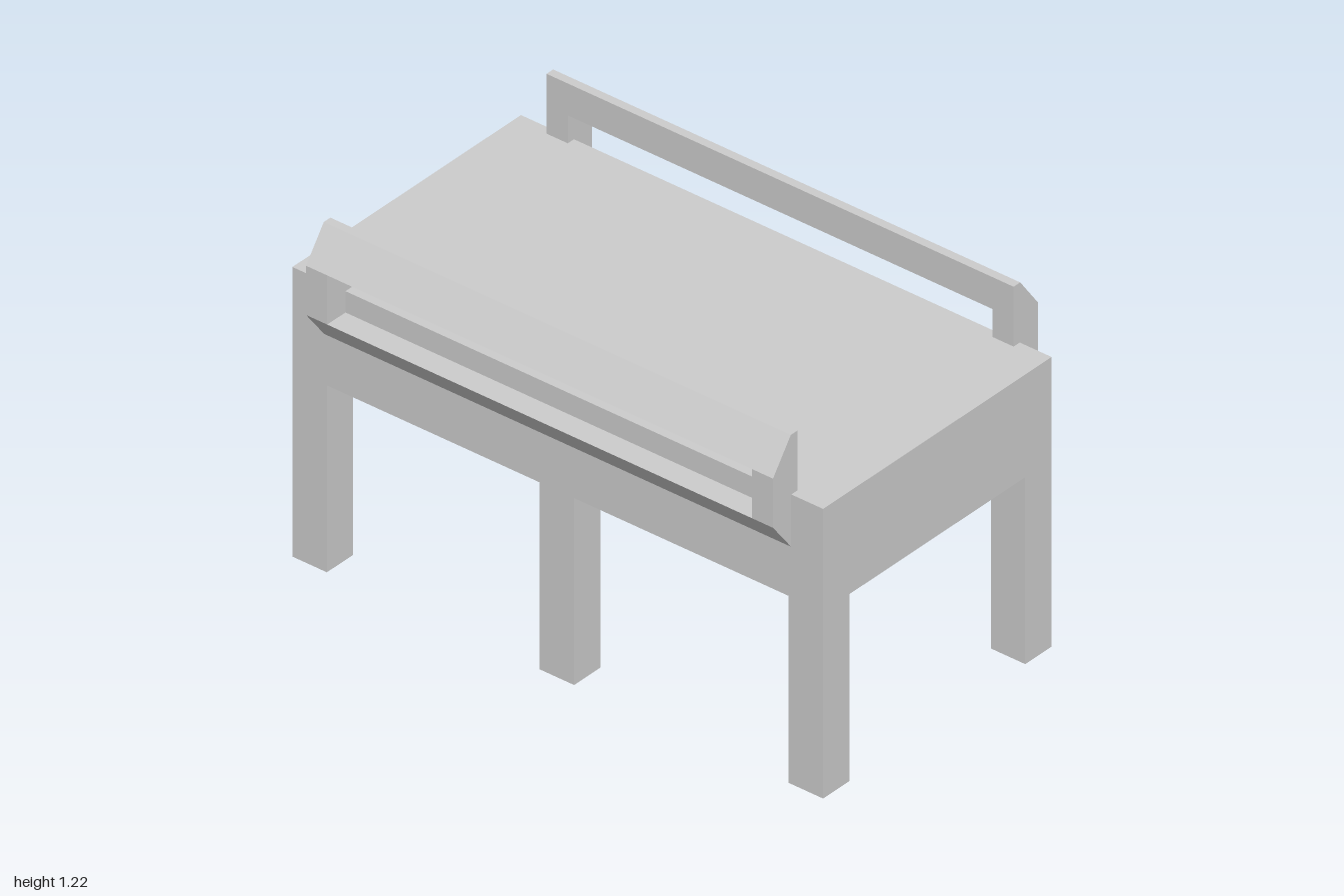
import * as THREE from 'three';

export function createModel() {
  const model = new THREE.Group();
  const grey = new THREE.MeshStandardMaterial({ color: 0xcccccc });
  grey.name = 'light grey';

  function add(parent, name, geometry) {
    const mesh = new THREE.Mesh(geometry, grey);
    mesh.name = name;
    parent.add(mesh);
  }

  // Box given by its limits on each axis
  function box(parent, name, x0, x1, y0, y1, z0, z1) {
    const g = new THREE.BoxGeometry(x1 - x0, y1 - y0, z1 - z0);
    g.translate((x0 + x1) / 2, (y0 + y1) / 2, (z0 + z1) / 2);
    add(parent, name, g);
  }

  // Bar along x with a (z, y) cross-section
  function bar(parent, name, points, halfLength) {
    const shape = new THREE.Shape(points.map(([z, y]) => new THREE.Vector2(z, y)));
    const g = new THREE.ExtrudeGeometry(shape, { depth: 2 * halfLength, bevelEnabled: false });
    g.translate(0, 0, -halfLength);
    g.rotateY(-Math.PI / 2);
    add(parent, name, g);
  }

  // Solid bed slab on a hollow frame
  box(model, 'mattress', -1, 1, 0.775, 1.007, -0.52, 0.52);
  for (const s of [-1, 1]) {
    const z = [s * 0.46 - 0.06, s * 0.46 + 0.06];
    box(model, 'longFrameRail', -1, 1, 0.65, 0.775, ...z);
    box(model, 'endFrameRail', s * 0.935 - 0.065, s * 0.935 + 0.065, 0.65, 0.775, -0.4, 0.4);

    // Three legs along each long side
    for (const x of [-0.935, -0.003, 0.935]) {
      box(model, 'leg', x - 0.065, x + 0.065, 0, 0.65, ...z);
    }
  }

  // Side guards with chamfered bars and an open middle
  for (const side of ['front', 'back']) {
    const guard = new THREE.Group();
    guard.name = side + 'Guard';
    bar(guard, 'upperBar', [[0.492, 1.104], [0.603, 1.104], [0.522, 1.215], [0.492, 1.215]], 0.88);
    bar(guard, 'lowerBar', [[0.518, 0.822], [0.603, 0.933], [0.518, 0.933]], 0.88);
    for (const s of [-1, 1]) {
      box(guard, 'guardPost', s * 0.84 - 0.04, s * 0.84 + 0.04, 0.933, 1.104, 0.492, 0.603);
    }
    if (side === 'back') guard.rotation.y = Math.PI;
    model.add(guard);
  }
  return model;
}
